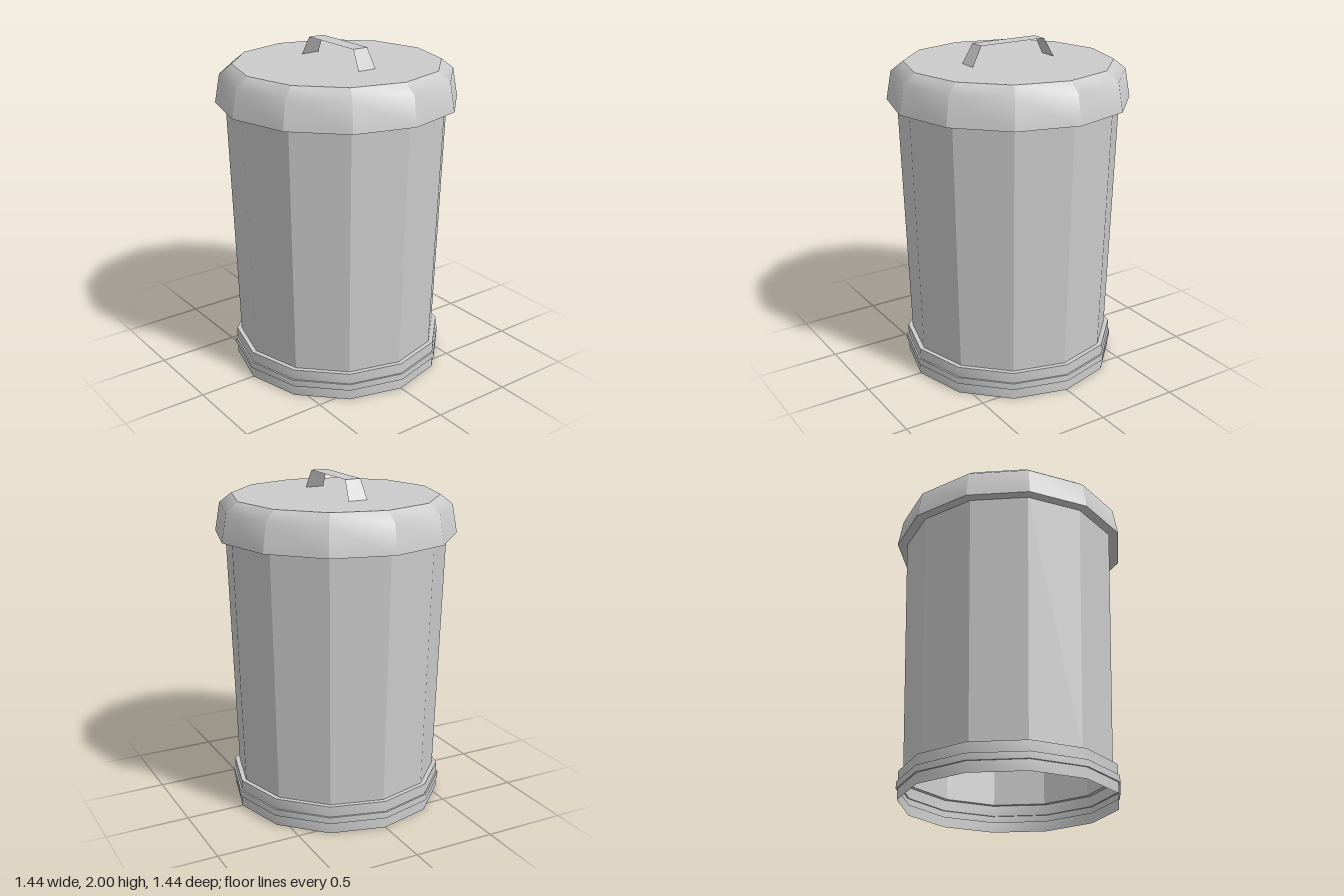
import * as THREE from 'three';
import { mergeGeometries, toCreasedNormals } from 'three/addons/utils/BufferGeometryUtils.js';

const SIDES = 12;
const profile = (pairs) => pairs.map(([r, y]) => new THREE.Vector2(r, y));

export function createModel() {
  const group = new THREE.Group();
  const smooth = new THREE.MeshStandardMaterial({ color: 0xcccccc, side: THREE.DoubleSide });
  const flat = new THREE.MeshStandardMaterial({ color: 0xcccccc, side: THREE.DoubleSide, flatShading: true });

  const add = (name, geometry, material) => {
    const mesh = new THREE.Mesh(geometry, material);
    mesh.name = name;
    group.add(mesh);
  };

  // Tapered, open-bottomed faceted body
  add('body', new THREE.LatheGeometry(profile([[0.617, 0.17], [0.66, 1.66]]), SIDES), flat);

  // Stepped base band with a raised ridge, open underneath
  const base = new THREE.LatheGeometry(profile([
    [0.645, 0], [0.645, 0.065], [0.655, 0.065], [0.655, 0.105],
    [0.645, 0.105], [0.645, 0.17], [0.617, 0.17],
  ]), SIDES);
  add('baseBand', toCreasedNormals(base, THREE.MathUtils.degToRad(35)), smooth);

  // Lid skirt: each panel is rounded vertically, with hard edges between panels
  const skirt = profile([[0.72, 1.66], [0.69, 1.83], [0.617, 1.887]]);
  const step = (Math.PI * 2) / SIDES;
  const panels = [];
  for (let i = 0; i < SIDES; i++) {
    const panel = new THREE.LatheGeometry(skirt, 1, i * step, step);
    panel.computeVertexNormals();
    panels.push(panel);
  }
  add('lidSkirt', mergeGeometries(panels), smooth);

  // Flat lid top and the rim underside that meets the body
  const top = new THREE.CircleGeometry(0.617, SIDES);
  top.rotateX(-Math.PI / 2).translate(0, 1.887, 0);
  add('lidTop', top, flat);
  add('lidUnderside', new THREE.LatheGeometry(profile([[0.66, 1.66], [0.72, 1.66]]), SIDES), flat);

  // Handle: a thin bent strip, wider at its feet
  const sections = [[0.278, 1.887, 0.06], [0.215, 2, 0.05], [-0.215, 2, 0.05], [-0.278, 1.887, 0.06]];
  const positions = [];
  const index = [];
  sections.forEach(([z, y, w], i) => {
    positions.push(-w, y, z, w, y, z);
    if (i < sections.length - 1) {
      const a = i * 2;
      index.push(a, a + 1, a + 3, a, a + 3, a + 2);
    }
  });
  const handle = new THREE.BufferGeometry();
  handle.setAttribute('position', new THREE.Float32BufferAttribute(positions, 3));
  handle.setIndex(index);
  handle.computeVertexNormals();
  add('lidHandle', handle, flat);

  return group;
}
